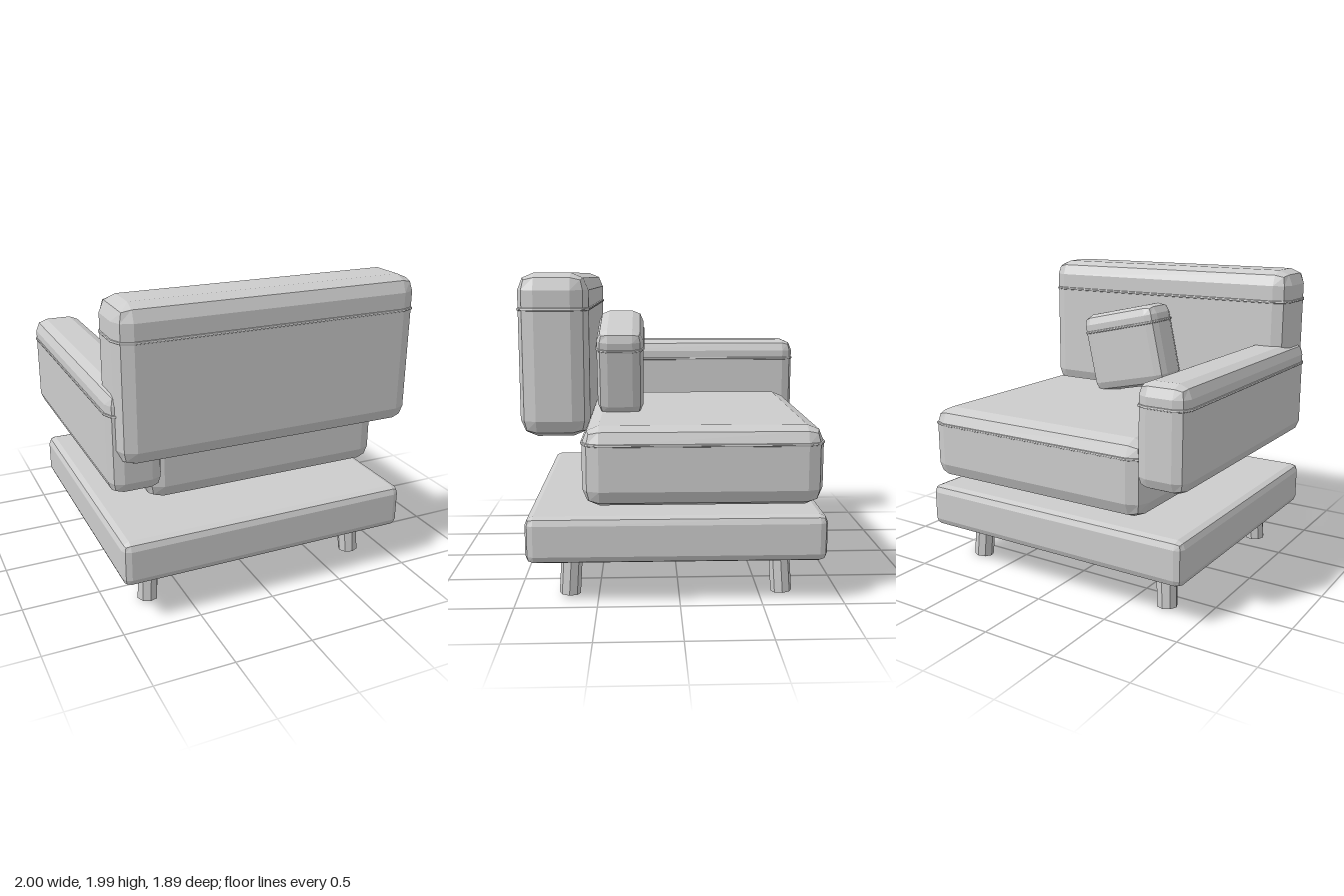
import * as THREE from 'three';
import { RoundedBoxGeometry } from 'three/addons/geometries/RoundedBoxGeometry.js';

const fabric = new THREE.MeshStandardMaterial({ color: 0xcccccc });
fabric.name = 'lightGrey';

// Give every facet its own normal
function faceted(geometry) {
  const g = geometry.index ? geometry.toNonIndexed() : geometry;
  g.computeVertexNormals();
  return g;
}

function addMesh(parent, name, geometry) {
  const mesh = new THREE.Mesh(faceted(geometry), fabric);
  mesh.name = name;
  parent.add(mesh);
  return mesh;
}

// Rectangle with two-facet corners, matching the bevelled box outline
function outline(w, d, r) {
  const x = w / 2, y = d / 2, k = r * (1 - Math.SQRT1_2);
  const corner = [[x, y - r], [x - k, y - k], [x - r, y]];
  const points = [];
  for (const [sx, sy] of [[1, 1], [-1, 1], [-1, -1], [1, -1]]) {
    const list = sx * sy > 0 ? corner : [...corner].reverse();
    for (const [px, py] of list) points.push(new THREE.Vector2(px * sx, py * sy));
  }
  return new THREE.Shape(points);
}

// Bevelled cushion with a raised seam around it at 78% of its height
function cushion(name, [w, h, d], [x, y, z], r) {
  const group = new THREE.Group();
  group.name = name;
  group.position.set(x, y, z);
  addMesh(group, name + 'Body', new RoundedBoxGeometry(w, h, d, 1, r));
  const seam = new THREE.ExtrudeGeometry(outline(w, d, r), {
    depth: 0.002, bevelEnabled: true, bevelThickness: 0.008, bevelSize: 0.008, bevelSegments: 2,
  });
  seam.rotateX(-Math.PI / 2);
  addMesh(group, name + 'Piping', seam).position.y = 0.28 * h;
  return group;
}

export function createModel() {
  const chair = new THREE.Group();
  chair.name = 'armchair';

  // Base platform
  addMesh(chair, 'base', new RoundedBoxGeometry(1.95, 0.29, 1.825, 1, 0.05))
    .position.set(0.015, 0.405, 0.018);

  // Slightly splayed legs
  const up = new THREE.Vector3(0, 1, 0);
  for (const sx of [-1, 1]) {
    for (const sz of [-1, 1]) {
      const leg = addMesh(chair, 'leg', new THREE.CylinderGeometry(0.066, 0.066, 0.28, 8));
      leg.position.set(0.015 + sx * 0.742, 0.145, 0.018 + sz * 0.655);
      leg.quaternion.setFromUnitVectors(up, new THREE.Vector3(-sx * 0.06, 1, -sz * 0.06).normalize());
    }
  }

  // Cushions
  chair.add(cushion('seat', [1.66, 0.49, 1.455], [0.16, 0.845, -0.14], 0.105));
  chair.add(cushion('backrest', [1.945, 0.955, 0.41], [0.0175, 1.508, 0.735], 0.1));
  chair.add(cushion('armrest', [0.33, 0.64, 1.8], [-0.828, 1.155, -0.038], 0.08));

  // Small pillow leaning sideways
  const pillow = cushion('pillow', [0.61, 0.57, 0.3], [0.155, 1.4, 0.365], 0.07);
  pillow.rotation.z = -0.22;
  chair.add(pillow);

  return chair;
}
